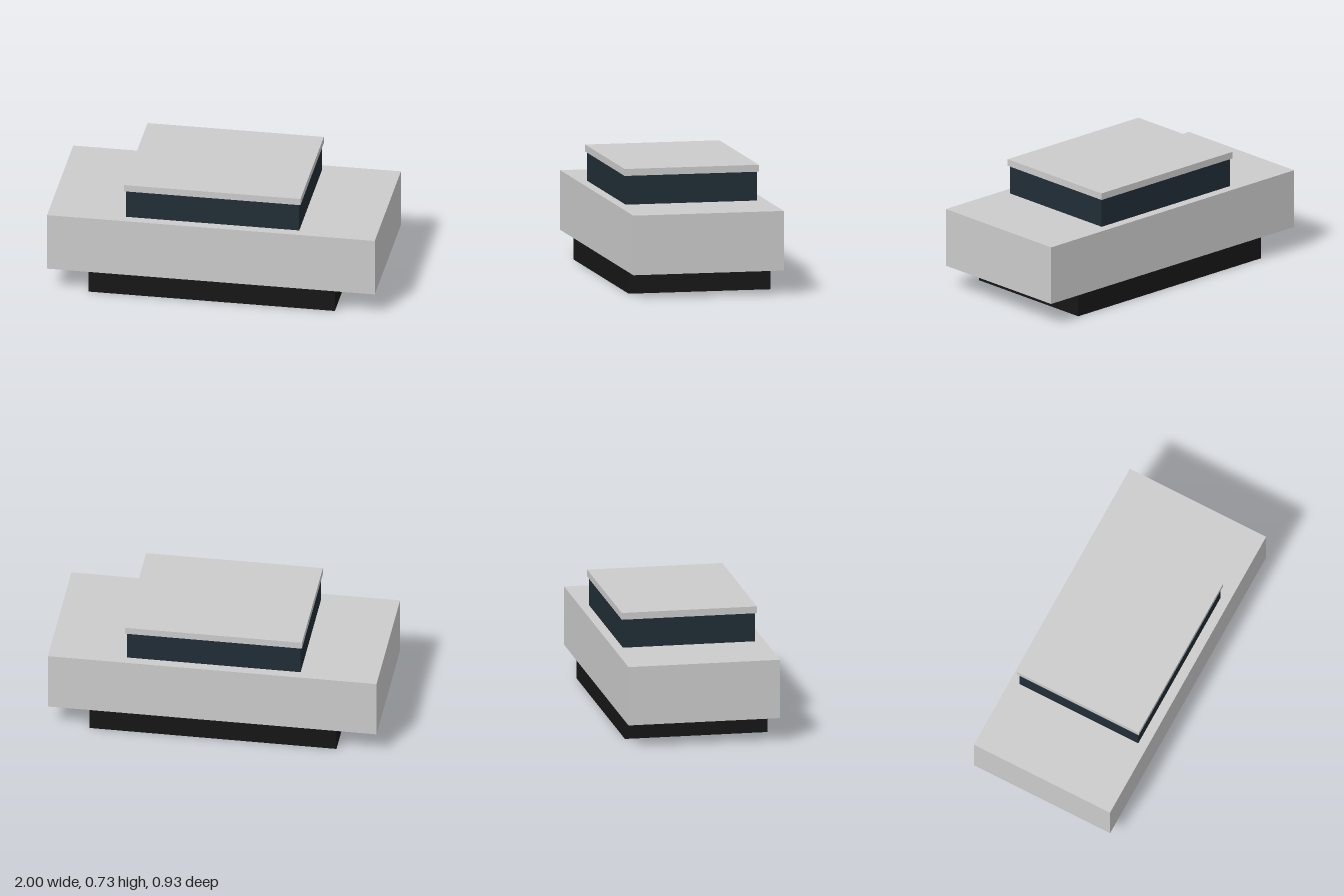
import * as THREE from 'three';

const GREY = 0xcccccc, GLASS = 0x202d36, BLACK = 0x161616;

// Box centred on x and z, spanning y0 to y1
function block(name, width, depth, y0, y1, color) {
  const mesh = new THREE.Mesh(
    new THREE.BoxGeometry(width, y1 - y0, depth),
    new THREE.MeshStandardMaterial({ color })
  );
  mesh.name = name;
  mesh.position.y = (y0 + y1) / 2;
  return mesh;
}

export function createModel() {
  const model = new THREE.Group();
  model.name = 'blockCar';
  model.add(
    block('undercarriage', 1.504, 0.874, 0, 0.147, BLACK),
    block('body', 2, 0.928, 0.147, 0.509, GREY),
    block('cabin', 1.058, 0.81, 0.509, 0.685, GLASS),
    block('roof', 1.076, 0.828, 0.685, 0.727, GREY)
  );
  return model;
}
